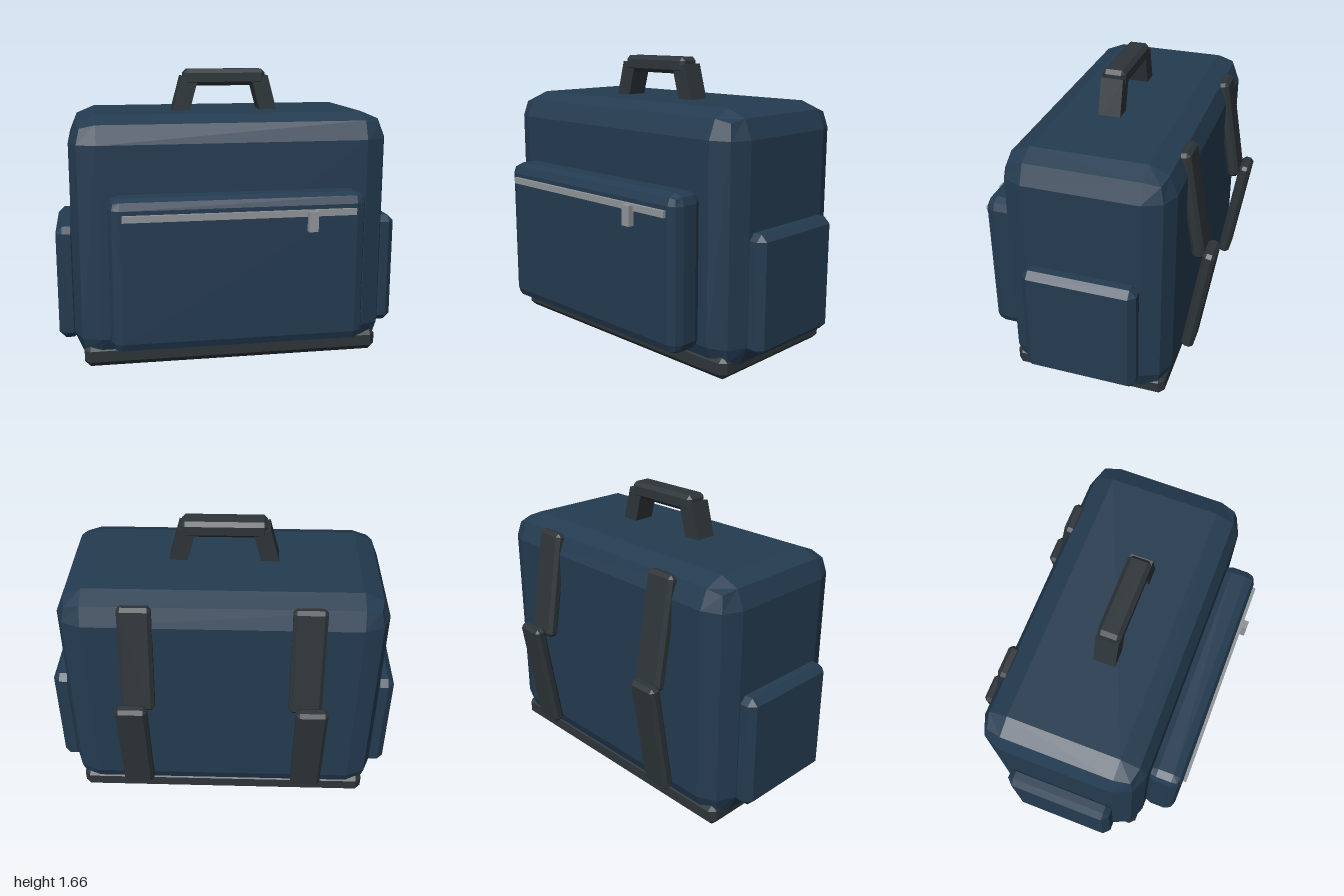
import * as THREE from 'three';
import { ConvexGeometry } from 'three/addons/geometries/ConvexGeometry.js';
import { RoundedBoxGeometry } from 'three/addons/geometries/RoundedBoxGeometry.js';

function material(name, color) {
  const m = new THREE.MeshStandardMaterial({ color, flatShading: true });
  m.name = name;
  return m;
}

// Box with a single flat chamfer of size c along every edge
function chamferBox(w, h, d, c) {
  const points = [];
  for (const x of [-0.5, 0.5]) for (const y of [-0.5, 0.5]) for (const z of [-0.5, 0.5]) {
    const corner = new THREE.Vector3(x * w, y * h, z * d);
    const inset = new THREE.Vector3(x, y, z).multiplyScalar(2 * c);
    for (const axis of ['x', 'y', 'z']) {
      const p = corner.clone().sub(inset);
      p[axis] = corner[axis];
      points.push(p);
    }
  }
  return new ConvexGeometry(points);
}

// Box with edges rounded in two facets
function facetedBox(w, h, d, r) {
  const g = new RoundedBoxGeometry(w, h, d, 1, r);
  g.computeVertexNormals();
  return g;
}

export function createModel() {
  const fabric = material('navy fabric', 0x243b50);
  const webbing = material('charcoal webbing', 0x2d3438);
  const metal = material('grey metal', 0x8f9498);

  const bag = new THREE.Group();
  bag.name = 'backpack';

  function add(name, geometry, mat, x, y, z) {
    const mesh = new THREE.Mesh(geometry, mat);
    mesh.name = name;
    mesh.position.set(x, y, z);
    bag.add(mesh);
    return mesh;
  }

  // Main compartment and base
  add('body', facetedBox(1.82, 1.4, 0.932, 0.15), fabric, 0, 0.724, -0.029);
  add('base', chamferBox(1.72, 0.13, 0.888, 0.033), webbing, 0, 0.065, -0.029);

  // Front pocket with zipper
  add('frontPocket', facetedBox(1.42, 0.86, 0.21, 0.06), fabric, 0, 0.58, 0.516);
  add('zipper', new THREE.BoxGeometry(1.28, 0.036, 0.04), metal, 0, 0.909, 0.62);
  add('zipperPull', new THREE.BoxGeometry(0.052, 0.112, 0.036), metal, 0.39, 0.867, 0.652);

  // Top handle
  add('handleGrip', chamferBox(0.48, 0.095, 0.133, 0.022), webbing, 0, 1.612, 0.018);

  for (const side of [-1, 1]) {
    const label = side > 0 ? 'left' : 'right';

    const leg = add(label + 'HandleLeg', new THREE.BoxGeometry(0.098, 0.25, 0.126), webbing,
      side * 0.24, 1.489, 0.018);
    leg.rotation.z = side * 0.265;

    add(label + 'SidePocket', chamferBox(0.12, 0.66, 0.637, 0.037), fabric,
      side * 0.94, 0.465, -0.027);

    // Shoulder strap in two lengths, bent away from the back
    const upper = add(label + 'UpperStrap', chamferBox(0.185, 0.635, 0.07, 0.02), webbing,
      side * 0.467, 1.08, -0.516);
    upper.rotation.x = 0.168;
    const lower = add(label + 'LowerStrap', chamferBox(0.178, 0.68, 0.07, 0.02), webbing,
      side * 0.502, 0.488, -0.581);
    lower.rotation.x = -0.153;
  }

  return bag;
}
